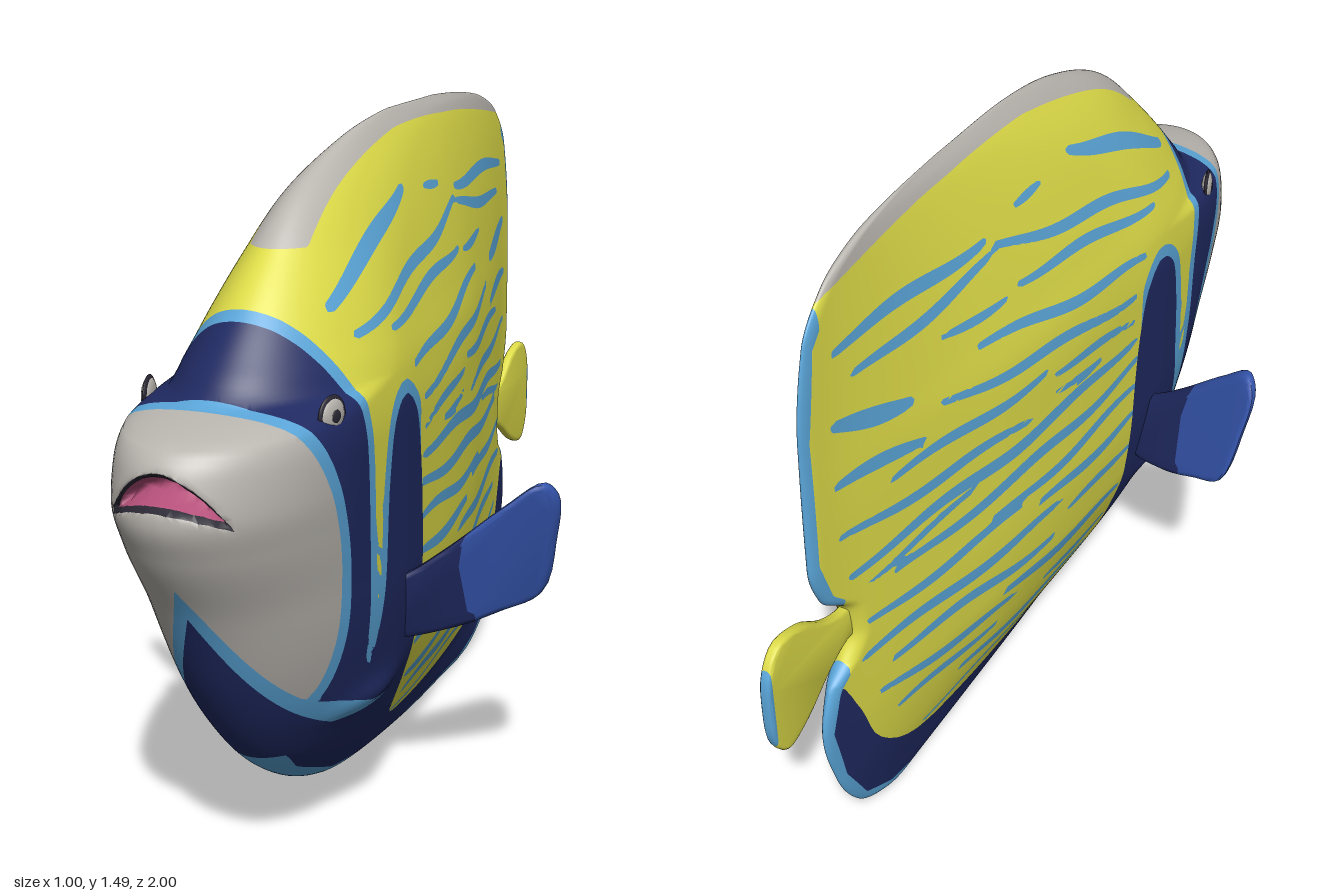
import * as THREE from 'three';
import { mergeVertices, toCreasedNormals } from 'three/addons/utils/BufferGeometryUtils.js';

const mat = (name, color, side = THREE.FrontSide) => Object.assign(new THREE.MeshStandardMaterial({ color, side }), { name });
const YELLOW = 0, BLUE = 1, NAVY = 2, GREY = 3, PINK = 4, DARK = 5, FIN = 6;

// Smooth monotone curve through [input, output] pairs
function curve(pts) {
  const n = pts.length;
  const d = pts.slice(1).map((p, i) => (p[1] - pts[i][1]) / (p[0] - pts[i][0]));
  const m = pts.map((_, i) => i === 0 ? d[0] : i === n - 1 ? d[n - 2]
    : d[i - 1] * d[i] <= 0 ? 0 : 2 * d[i - 1] * d[i] / (d[i - 1] + d[i]));
  return (v) => {
    if (v <= pts[0][0]) return pts[0][1];
    if (v >= pts[n - 1][0]) return pts[n - 1][1];
    let i = 0;
    while (v > pts[i + 1][0]) i++;
    const h = pts[i + 1][0] - pts[i][0], t = (v - pts[i][0]) / h, s = 1 - t;
    return pts[i][1] * s * s * (1 + 2 * t) + pts[i + 1][1] * t * t * (3 - 2 * t) + h * t * s * (m[i] * s - m[i + 1] * t);
  };
}
const smoothLoop = (pts, n = 60) => new THREE.CatmullRomCurve3(
  pts.map(([a, b]) => new THREE.Vector3(a, b, 0)), true).getPoints(n).slice(0, n).map((p) => [p.x, p.y]);

const segDist = (px, py, ax, ay, bx, by) => {
  const dx = bx - ax, dy = by - ay;
  const t = Math.min(1, Math.max(0, ((px - ax) * dx + (py - ay) * dy) / (dx * dx + dy * dy || 1)));
  return [Math.hypot(px - ax - t * dx, py - ay - t * dy), t];
};
// Distance to a loop in (z, y), positive inside
function inside(loop, z, y) {
  let best = 9, odd = false;
  loop.forEach(([bx, by], i) => {
    const [ax, ay] = loop[(i || loop.length) - 1];
    best = Math.min(best, segDist(z, y, ax, ay, bx, by)[0]);
    if ((ay > y) !== (by > y) && z < ax + (bx - ax) * (y - ay) / (by - ay)) odd = !odd;
  });
  return odd ? best : -best;
}

// Cut triangles along field = 0 and colour the positive side
function paint(tris, field, m) {
  const out = [];
  for (const T of tris) {
    const f = T.p.map(field), pos = f.map((v) => v > 0), count = pos.filter(Boolean).length;
    if (count === 0) { out.push(T); continue; }
    if (count === 3) { out.push({ p: T.p, m }); continue; }
    const i = pos.indexOf(count === 1), j = (i + 1) % 3, k = (i + 2) % 3;
    const cut = (q) => T.p[i].map((v, c) => v + (T.p[q][c] - v) * f[i] / (f[i] - f[q]));
    const ab = cut(j), ac = cut(k), one = pos[i] ? m : T.m, two = pos[i] ? T.m : m;
    out.push({ p: [T.p[i], ab, ac], m: one }, { p: [ab, T.p[j], T.p[k]], m: two }, { p: [ab, T.p[k], ac], m: two });
  }
  return out;
}
const mirror = (tris) => tris.map(({ p, m }) => ({ m, p: [p[0], p[2], p[1]].map(([x, y, z]) => [-x, y, z]) }));

function toMesh(name, tris, materials, crease) {
  const geo = new THREE.BufferGeometry(), pos = [];
  materials.forEach((_, m) => {
    const start = pos.length / 3;
    for (const T of tris) if (T.m === m) for (const p of T.p) pos.push(p[0], p[1], p[2]);
    if (pos.length / 3 > start) geo.addGroup(start, pos.length / 3 - start, m);
  });
  geo.setAttribute('position', new THREE.Float32BufferAttribute(pos, 3));
  let done;
  if (crease) done = toCreasedNormals(geo, crease);
  else { done = mergeVertices(geo, 1e-5); done.computeVertexNormals(); }
  const mesh = new THREE.Mesh(done, materials);
  mesh.name = name;
  return mesh;
}

// Body outline: nose edge and rear edge for each height, as [y, z]
const frontPts = [[0, -.5], [.006, -.28], [.015, -.05], [.04, .17], [.075, .36], [.175, .57], [.27, .68], [.42, .785], [.63, .89],
  [.765, .97], [.845, 1], [.925, .985], [.968, .957], [.99, .89], [1.005, .8], [1.06, .745], [1.14, .67], [1.235, .57],
  [1.34, .44], [1.42, .25], [1.475, -.016], [1.485, -.3]];
const backPts = [[0, -.5], [.027, -.6], [.096, -.71], [.23, -.785], [.39, -.822], [.5, -.79], [.54, -.74], [.6, -.71], [.67, -.72],
  [.74, -.79], [.845, -.824], [1.14, -.82], [1.33, -.785], [1.417, -.71], [1.46, -.6], [1.48, -.44], [1.485, -.3]];
const front = curve(frontPts), back = curve(backPts);
const outline = [...frontPts, ...backPts.slice(1, -1).reverse()].map(([y, z]) => [z, y]);
const girth = curve([[0, 0], [.02, .12], [.1, .33], [.2, .6], [.3, .79], [.4, .92], [.6, 1], [.9, 1], [1, .96], [1.1, .84],
  [1.2, .7], [1.3, .53], [1.4, .31], [1.46, .13], [1.485, 0]]);
const width = curve([[-.85, .008], [-.75, .022], [-.6, .055], [-.4, .1], [-.2, .145], [0, .178], [.2, .2], [.4, .217], [1, .222]]);
const dome = (d) => Math.sqrt(Math.max(0, 1 - (1 - Math.min(1, Math.max(0, d))) ** 2));
const mouth = ([x, y, z]) => z < .8 ? -1 : .026 * (1 - (x / .115) ** 2) - Math.abs(y - .9 + 4.4 * x * x);

function bodyPoint(y, s) {
  const f = front(y), b = back(y), z = f + (b - f) * s, len = f - b;
  let x = width(z) * girth(y) * dome((f - z) / Math.min(.4, .6 * len + 1e-6)) * dome((z - b) / Math.min(.03, .3 * len + 1e-6));
  // cheek flare above the gill spine
  if (s > 0 && s < 1) x += .02 * Math.exp(-(((z - .47) / .1) ** 2) - ((y - .34) / .035) ** 2);
  const p = [x, y, z];
  p[2] -= .07 * THREE.MathUtils.smoothstep(mouth(p), -.008, .02);
  return p;
}

// Side stripes: z, y at both ends, half width
const upperStripes = [[.53, 1.16, .1, 1.335, .018], [.5, 1.1, -.23, 1.26, .014], [-.03, 1.31, -.13, 1.315, .01], [-.25, 1.29, -.71, 1.29, .016],
  [-.24, 1.245, -.67, 1.21, .014], [.37, 1.09, -.18, 1.165, .013], [-.22, 1.15, -.42, 1.16, .011], [.3, .99, -.33, 1.09, .014],
  [-.53, 1.08, -.73, 1.13, .022], [.25, .92, -.45, 1.02, .014], [-.5, .97, -.74, 1, .017], [.24, .85, -.1, .905, .012],
  [-.12, .92, -.6, .93, .014], [.1, .84, -.1, .845, .01], [-.17, .83, -.74, .87, .014], [.25, .8, -.72, .77, .017]];
const lowerStripes = [[.26, .73, -.6, .69, .016], [.26, .66, -.3, .63, .014], [-.36, .75, -.68, .72, .01], [.26, .58, -.15, .57, .015],
  [-.2, .61, -.68, .61, .014], [.26, .49, -.02, .47, .013], [-.06, .52, -.7, .53, .016], [.23, .36, -.25, .375, .018],
  [-.07, .43, -.62, .47, .015], [.22, .28, -.06, .27, .014], [-.2, .33, -.66, .39, .014], [.18, .215, -.38, .225, .015],
  [-.25, .29, -.6, .3, .012], [.21, .165, -.5, .16, .008]];
const stripes = [...upperStripes, ...lowerStripes];
const stripeField = ([x, y, z]) => Math.max(...stripes.map(([z0, y0, z1, y1, w], i) => {
  const [d, t] = segDist(z, y + .008 * Math.sin(14 * z + i * 2), z0, y0, z1, y1);
  return w * (.55 + .45 * Math.sin(Math.PI * t)) - d;
}));

// Painted regions in (z, y)
const maskLoop = smoothLoop([[.68, 1.155], [.6, 1.03], [.565, .9], [.55, .65], [.515, .41], [.475, .6], [.455, .8], [.42, .92], [.36, .955],
  [.3, .91], [.268, .8], [.25, .6], [.25, .35], [.22, .19], [.1, .14], [-.25, .115], [-.52, .15], [-.66, .26], [-.72, .4],
  [-.79, .52], [-.95, .55], [-.95, -.1], [0, -.2], [.7, -.1], [1.2, .5], [1.2, 1.1], [.9, 1.25]], 110);
const faceLoop = smoothLoop([[.84, 1.03], [.77, .95], [.7, .82], [.655, .66], [.645, .5], [.67, .41], [.73, .375], [.85, .36],
  [1.2, .4], [1.2, 1], [1, 1.06]]);
const spineLoop = smoothLoop([[.74, .41], [.6, .375], [.48, .335], [.37, .312], [.5, .31], [.66, .335]], 30);
const ridge = curve([[-.83, 1.25], [-.8, 1.38], [-.7, 1.45], [-.3, 1.485], [0, 1.46], [.3, 1.38], [.5, 1.27]]);

function bodyTriangles() {
  const rows = 170, cols = 80, top = 1.485, grid = [];
  for (let i = 0; i <= rows; i++) {
    const u = i / rows, y = top * (.3 * u + .35 * (1 - Math.cos(Math.PI * u)));
    grid.push(Array.from({ length: cols + 1 }, (_, j) => bodyPoint(y, (1 - Math.cos(Math.PI * j / cols)) / 2)));
  }
  let tris = [];
  for (let i = 0; i < rows; i++) for (let j = 0; j < cols; j++) {
    const a = grid[i][j], b = grid[i][j + 1], c = grid[i + 1][j], d = grid[i + 1][j + 1];
    if (i > 0) tris.push({ p: [a, b, c], m: YELLOW });
    if (i < rows - 1) tris.push({ p: [b, d, c], m: YELLOW });
  }
  const layers = [
    [stripeField, BLUE],
    [([x, y, z]) => Math.min(inside(maskLoop, z, y) + .028, z - .27, y - .33), BLUE],
    [([x, y, z]) => inside(maskLoop, z, y), NAVY],
    [([x, y, z]) => Math.min(Math.max(inside(faceLoop, z, y) + .03, inside(spineLoop, z, y)), x - .45 * (.63 - y)), BLUE],
    [([x, y, z]) => Math.min(inside(faceLoop, z, y), x - .45 * (.7 - y)), GREY],
    [([x, y, z]) => Math.min(.02 - inside(outline, z, y), Math.max(.25 - y, -.74 - z)), BLUE],
    [([x, y, z]) => Math.min(.03 + .065 * z - x + .02 * Math.max(0, -z) * 2, y - ridge(z) + .04, y - 1.26, z + .78), GREY],
    [(p) => mouth(p) + .008, DARK],
    [mouth, PINK],
  ];
  for (const [field, m] of layers) tris = paint(tris, field, m);
  return [...tris, ...mirror(tris)];
}

// Thin rounded fin from a flat outline; place() moves each point
function finTriangles(loop, depth, bevel, m, place) {
  const shape = new THREE.Shape(smoothLoop(loop, 48).map(([a, b]) => new THREE.Vector2(a, b)));
  const geo = new THREE.ExtrudeGeometry(shape, { depth, bevelThickness: bevel, bevelSize: bevel, bevelOffset: -bevel, bevelSegments: 3 });
  const P = geo.attributes.position, tris = [];
  const at = (i) => place(P.getX(i), P.getY(i), P.getZ(i) - depth / 2);
  for (let i = 0; i < P.count; i += 3) tris.push({ p: [at(i), at(i + 1), at(i + 2)], m });
  return tris;
}

export function createModel() {
  const materials = [mat('yellow', 0xdedc48), mat('sky blue', 0x5aa5d8), mat('navy', 0x202a62), mat('pale grey', 0xb9b5af),
    mat('mouth pink', 0xb5507a), mat('dark', 0x2a2733), mat('fin blue', 0x3555ad)];
  const fish = new THREE.Group();
  fish.name = 'fish';
  fish.add(toMesh('body', bodyTriangles(), materials));

  // Tail fin with a pale trailing edge
  let tail = finTriangles([[-.62, .58], [-.72, .59], [-.79, .565], [-.88, .508], [-.95, .49], [-.99, .54], [-1, .63], [-.99, .72],
    [-.95, .767], [-.87, .752], [-.79, .695], [-.72, .67], [-.62, .68]], .006, .009, YELLOW, (a, b, c) => [-c, b, a]);
  tail = paint(tail, (p) => -.985 - p[2], BLUE);
  fish.add(toMesh('tailFin', tail, materials, .7));

  // Swept pectoral fins, navy at the root
  let fin = finTriangles([[.17, .42], [.28, .43], [.38, .47], [.455, .51], [.49, .64], [.5, .74], [.475, .772], [.4, .72], [.3, .635],
    [.22, .575], [.17, .55]], .012, .012, NAVY, (a, b, c) => [a, b, c + .37 - .55 * (a - .2) + .3 * (b - .6)]);
  fin = paint(fin, ([x, y]) => x - .315 - .02 * Math.sin(y * 30), FIN);
  fish.add(toMesh('leftPectoralFin', fin, materials, .7), toMesh('rightPectoralFin', mirror(fin), materials, .7));

  // Eyes: dark rim, pale iris, small pupil
  const ball = new THREE.SphereGeometry(1, 24, 16);
  for (const side of [1, -1]) {
    const eye = new THREE.Group();
    eye.name = side > 0 ? 'leftEye' : 'rightEye';
    const y = .985, z = .675, x = bodyPoint(y, (front(y) - z) / (front(y) - back(y)))[0];
    [['eyeRim', .039, .008, DARK, 0], ['iris', .034, .013, GREY, 0], ['pupil', .013, .004, DARK, .011]].forEach(([name, r, t, m, out]) => {
      const part = new THREE.Mesh(ball, materials[m]);
      part.name = name;
      part.scale.set(t, r, r);
      part.position.x = out * side;
      eye.add(part);
    });
    eye.position.set(side * x, y, z);
    eye.rotation.y = -.25 * side;
    fish.add(eye);
  }
  return fish;
}
